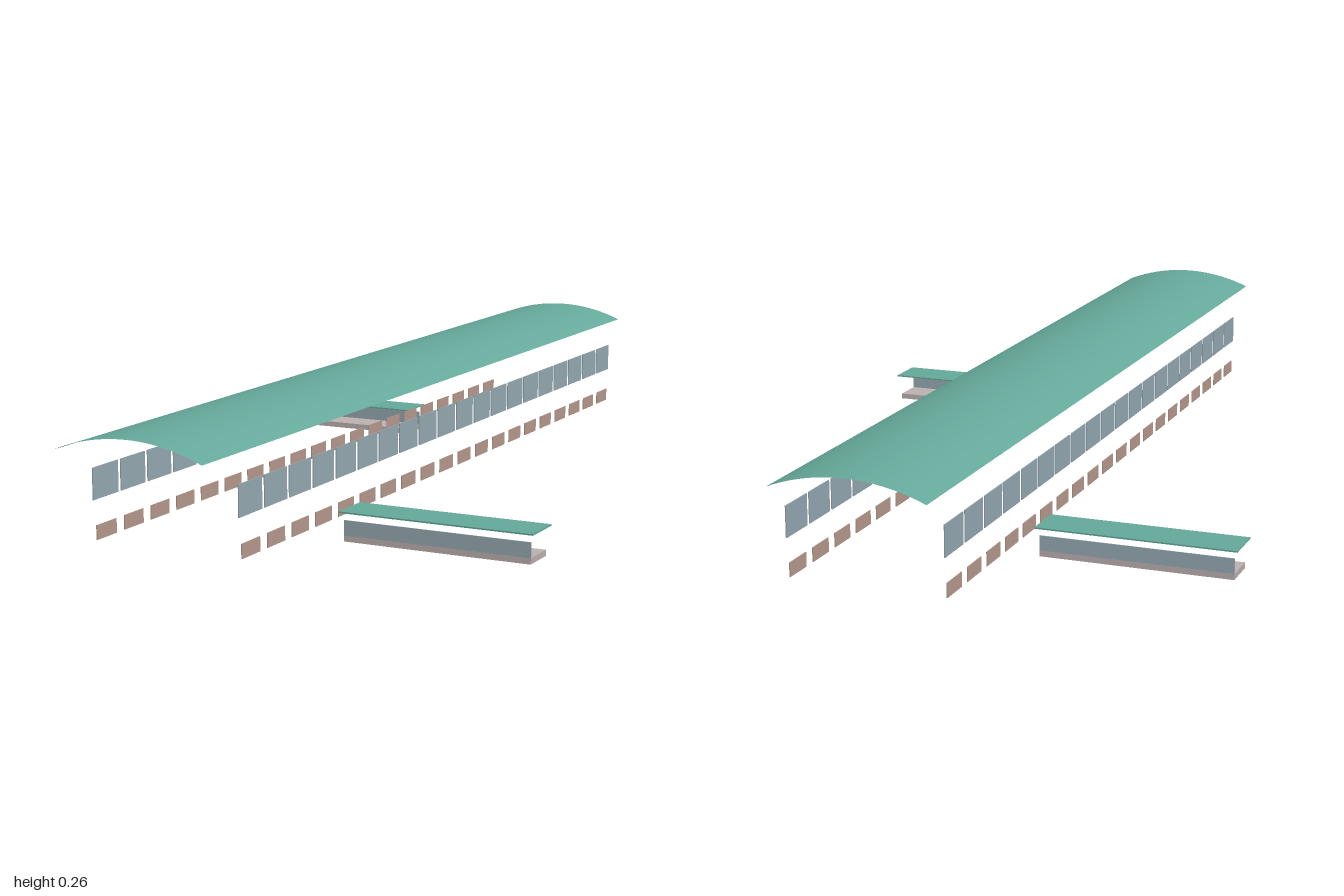
import * as THREE from 'three';

const mat = (name, color) => Object.assign(new THREE.MeshStandardMaterial({ color }), { name });

export function createModel() {
  const roofGreen = mat('roof green', 0x66ab9c);
  roofGreen.side = THREE.DoubleSide;
  const glass = mat('window glass', 0x97abb4);
  const brick = mat('brick panel', 0xba9c8f);
  const stone = mat('stone base', 0xbdb3b2);

  const model = new THREE.Group();
  model.name = 'stationHall';

  // Box given by its lower and upper corner
  const box = (name, material, [x0, y0, z0], [x1, y1, z1], parent = model) => {
    const mesh = new THREE.Mesh(new THREE.BoxGeometry(x1 - x0, y1 - y0, z1 - z0), material);
    mesh.position.set((x0 + x1) / 2, (y0 + y1) / 2, (z0 + z1) / 2);
    mesh.name = name;
    parent.add(mesh);
    return mesh;
  };

  // Shallow barrel roof: an open arc of a cylinder laid along z
  const halfWidth = 0.154, rise = 0.031, top = 0.264;
  const radius = (halfWidth ** 2 + rise ** 2) / (2 * rise);
  const angle = Math.asin(halfWidth / radius);
  const arc = new THREE.CylinderGeometry(radius, radius, 2, 24, 1, true, Math.PI - angle, 2 * angle);
  arc.rotateX(Math.PI / 2);
  arc.translate(0, top - radius, 0);
  const roof = new THREE.Mesh(arc, roofGreen);
  roof.name = 'barrelRoof';
  model.add(roof);

  // Rows of windows with brick panels below, on both long sides
  for (const side of [-1, 1]) {
    const wall = new THREE.Group();
    wall.name = side > 0 ? 'leftWall' : 'rightWall';
    model.add(wall);
    const x = side * 0.155, t = 0.001;
    for (let i = 0; i < 20; i++) {
      const z = 0.841 - i * 0.091;
      box('window', glass, [x - t, 0.116, z - 0.041], [x + t, 0.177, z + 0.041], wall);
      box('brickPanel', brick, [x - t, 0.039, z - 0.032], [x + t, 0.067, z + 0.032], wall);
    }
  }

  // Low side wings, placed diagonally opposite each other
  for (const side of [-1, 1]) {
    const wing = new THREE.Group();
    wing.name = side > 0 ? 'leftWing' : 'rightWing';
    wing.position.set(side * 0.377, 0, side > 0 ? 0.503 : -0.507);
    model.add(wing);
    box('wingBase', stone, [-0.194, 0, -0.036], [0.194, 0.012, 0.036], wing);
    const z = side * 0.035;
    box('wingGlazing', glass, [-0.194, 0.012, z - 0.001], [0.194, 0.042, z + 0.001], wing);
    box('wingCanopy', roofGreen, [-0.201, 0.057, -0.044], [0.201, 0.06, 0.044], wing);
  }

  return model;
}
